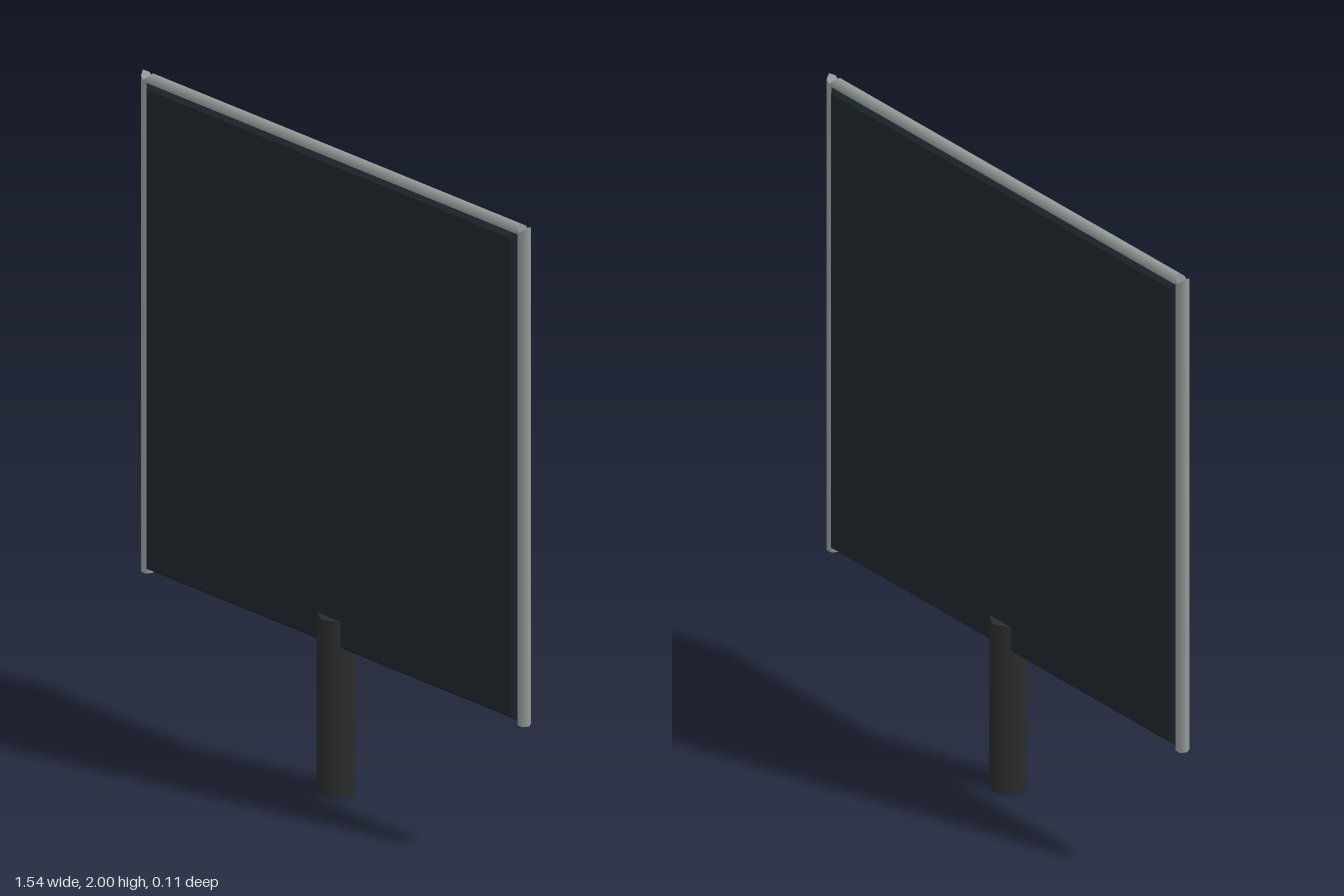
import * as THREE from 'three';

const mat = (color) => new THREE.MeshStandardMaterial({ color });

export function createModel() {
  const group = new THREE.Group();
  const add = (name, geometry, material) => {
    const mesh = new THREE.Mesh(geometry, material);
    mesh.name = name;
    group.add(mesh);
    return mesh;
  };

  // Board: flat panel with chamfered edges on both faces
  const bevel = 0.014, halfW = 0.74, bottom = 0.46, top = 1.975, depth = 0.06;
  const w = halfW - bevel, lo = bottom + bevel, hi = top - bevel;
  const outline = new THREE.Shape([
    new THREE.Vector2(-w, lo), new THREE.Vector2(w, lo),
    new THREE.Vector2(w, hi), new THREE.Vector2(-w, hi),
  ]);
  const panel = new THREE.ExtrudeGeometry(outline, {
    depth: depth - 2 * bevel, bevelEnabled: true,
    bevelSize: bevel, bevelThickness: bevel, bevelSegments: 1,
  });
  panel.translate(0, 0, -depth / 2 + bevel);
  add('board', panel, mat(0x1e272e));

  // Frame: six-sided rods along the sides and top, mitred at the corners
  const metal = mat(0x959c99);
  const r = 0.02, railX = 0.77 - r, railY = 2 - r, footY = 0.445;
  const rod = (length, mitreStart, mitreEnd) => {
    const g = new THREE.CylinderGeometry(r, r, length, 6);
    g.rotateY(Math.PI / 2);
    const p = g.attributes.position;
    for (let i = 0; i < p.count; i++) {
      const y = p.getY(i);
      if (y > 0) p.setY(i, y + mitreEnd * p.getX(i));
      else p.setY(i, y + mitreStart * p.getX(i));
    }
    return g;
  };
  const postLength = railY - footY;
  for (const side of [-1, 1]) {
    const post = add(side > 0 ? 'leftFramePost' : 'rightFramePost', rod(postLength, 0, side), metal);
    post.position.set(side * railX, footY + postLength / 2, 0);
  }
  const rail = add('topFrameRail', rod(2 * railX, 1, -1), metal);
  rail.rotation.z = Math.PI / 2;
  rail.position.y = railY;

  // Handle: six-sided grip overlapping the lower edge of the board
  const handle = add('handle', new THREE.CylinderGeometry(0.057, 0.057, 0.55, 6), mat(0x2a2c2d));
  handle.position.y = 0.275;

  return group;
}
